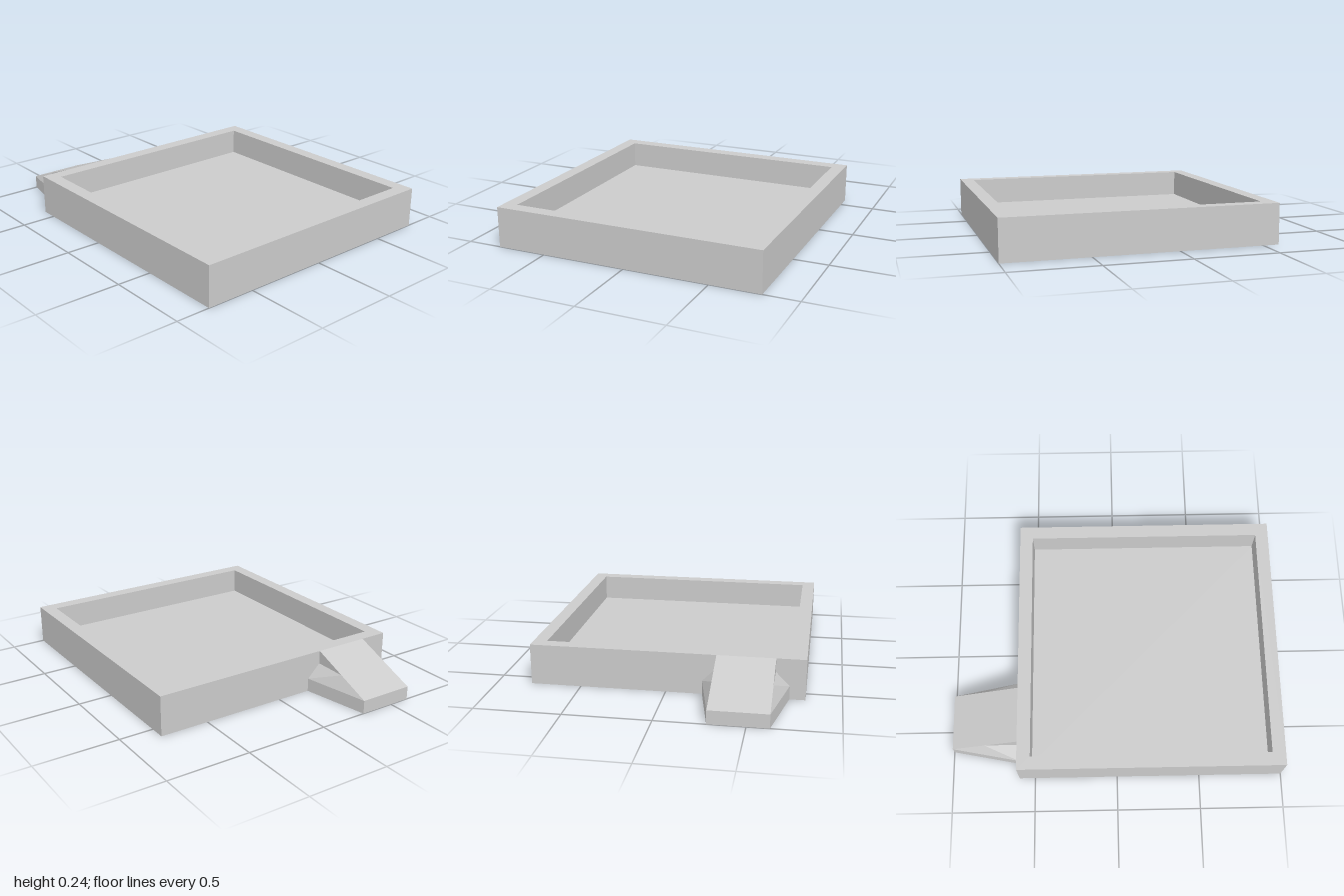
import * as THREE from 'three';
import { ConvexGeometry } from 'three/addons/geometries/ConvexGeometry.js';

const HEIGHT = 0.24, FLOOR = 0.08;
const X0 = -0.595, X1 = 1, Z = 0.795, WALL = 0.08;       // tray extents
const TIP = -1, RAMP_Z = 0.4575, HALF = 0.1675;          // ramp tip, centre and half width

function rectangle(Type, x0, x1, halfZ) {
  return new Type([
    new THREE.Vector2(x0, -halfZ), new THREE.Vector2(x1, -halfZ),
    new THREE.Vector2(x1, halfZ), new THREE.Vector2(x0, halfZ),
  ]);
}

export function createModel() {
  const model = new THREE.Group();
  const material = new THREE.MeshStandardMaterial({ color: 0xcccccc, flatShading: true });
  const add = (name, geometry) => {
    const mesh = new THREE.Mesh(geometry, material);
    mesh.name = name;
    model.add(mesh);
    return mesh;
  };

  // Square frame of walls
  const outline = rectangle(THREE.Shape, X0, X1, Z);
  outline.holes.push(rectangle(THREE.Path, X0 + WALL, X1 - WALL, Z - WALL));
  const walls = new THREE.ExtrudeGeometry(outline, { depth: HEIGHT, bevelEnabled: false });
  walls.rotateX(-Math.PI / 2);
  add('trayWalls', walls);

  // Sunken floor
  const floor = new THREE.BoxGeometry(X1 - X0 - 2 * WALL, FLOOR, 2 * (Z - WALL));
  add('trayFloor', floor).position.set((X0 + X1) / 2, FLOOR / 2, 0);

  // Ramp with a blunt tip, rising to the rim
  const profile = new THREE.Shape([
    new THREE.Vector2(TIP, 0), new THREE.Vector2(X0, 0),
    new THREE.Vector2(X0, HEIGHT), new THREE.Vector2(TIP, FLOOR),
  ]);
  const ramp = new THREE.ExtrudeGeometry(profile, { depth: 2 * HALF, bevelEnabled: false });
  add('ramp', ramp).position.z = RAMP_Z - HALF;

  // Flared buttress on each side of the ramp, reaching halfway up
  const mid = (TIP + X0) / 2, midY = (FLOOR + HEIGHT) / 2, flare = HALF + 0.08;
  for (const side of [-1, 1]) {
    const points = [
      [TIP, 0, HALF], [TIP, FLOOR, HALF], [X0, 0, HALF], [X0, 0, flare],
      [X0, FLOOR, flare], [X0, midY, HALF], [mid, midY, HALF],
    ].map(([x, y, z]) => new THREE.Vector3(x, y, RAMP_Z + side * z));
    add(side > 0 ? 'frontButtress' : 'backButtress', new ConvexGeometry(points));
  }

  return model;
}
